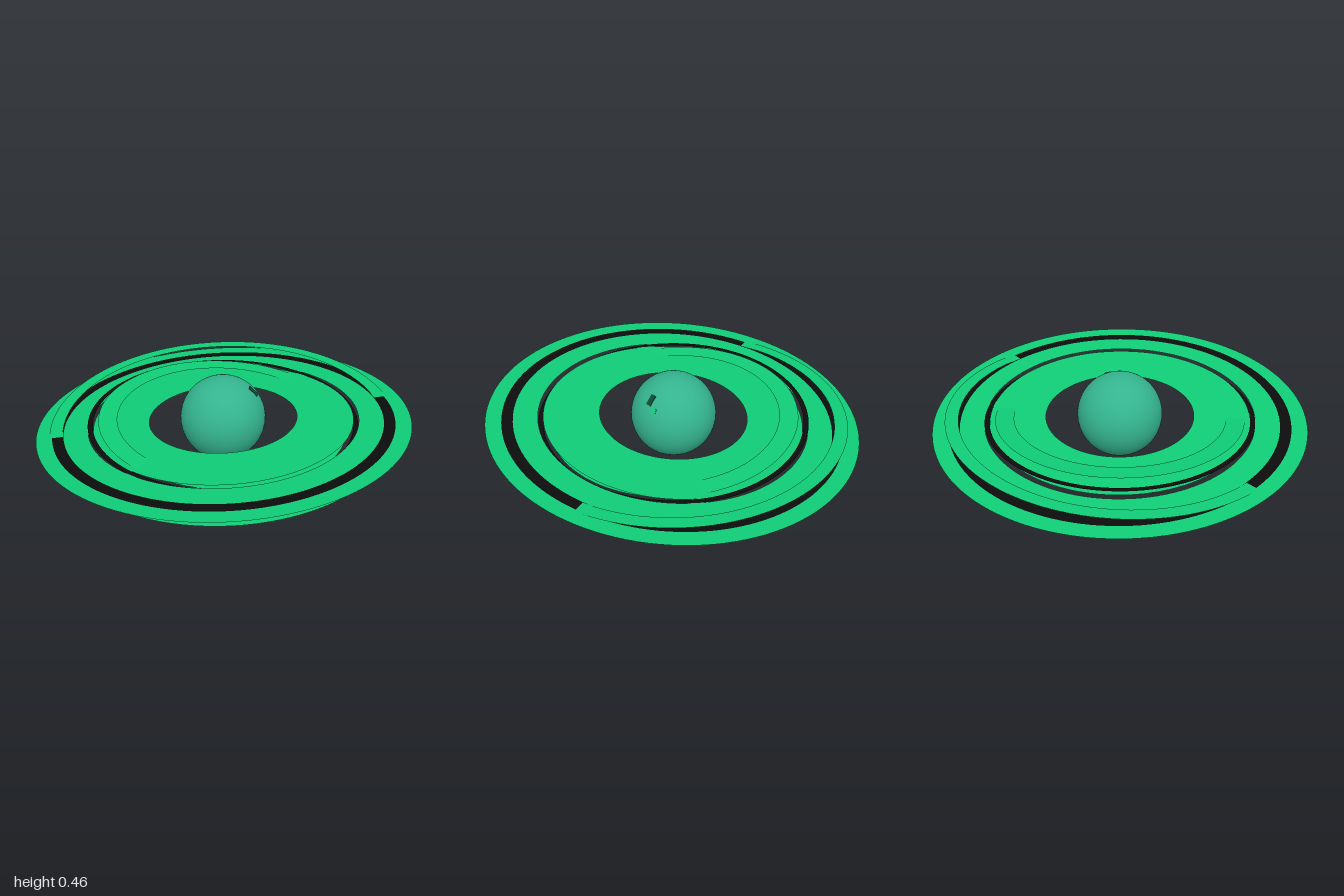
import * as THREE from 'three';

export function createModel() {
  const model = new THREE.Group();
  const mat = (name, color, side = THREE.FrontSide) => {
    const m = new THREE.MeshStandardMaterial({ color, side });
    m.name = name;
    return m;
  };
  const teal = mat('planet teal', 0x34b48e);
  const green = mat('ring green', 0x0fcc76, THREE.DoubleSide);
  const black = mat('band black', 0x0c0c0c, THREE.DoubleSide);
  const dark = mat('dark spot', 0x0d4a34);

  const R = 0.23;
  const center = new THREE.Vector3(0, R, 0);

  // Planet
  const planet = new THREE.Mesh(new THREE.SphereGeometry(R, 64, 48), teal);
  planet.name = 'planet';
  planet.position.copy(center);
  model.add(planet);

  // Thin marks lying tangent to the planet's surface
  function surfaceMark(name, dir, w, h, material) {
    const mark = new THREE.Mesh(new THREE.BoxGeometry(w, h, 0.005), material);
    const n = new THREE.Vector3(...dir).normalize();
    mark.name = name;
    mark.position.copy(center).addScaledVector(n, R);
    mark.lookAt(center.clone().addScaledVector(n, 2 * R));
    model.add(mark);
  }
  surfaceMark('upperSpot', [0.135, 0.163, -0.09], 0.03, 0.06, dark);
  surfaceMark('upperFleck', [0.13, 0.128, -0.14], 0.025, 0.025, green);
  surfaceMark('lowerSpot', [0, -0.185, 0.137], 0.032, 0.032, dark);

  // Flat rings, each group with its own slight tilt
  function ringSystem(name, tiltX, tiltZ, bands) {
    const g = new THREE.Group();
    g.name = name;
    g.position.copy(center);
    g.rotation.set(tiltX, 0, tiltZ);
    for (const [part, inner, outer, material] of bands) {
      const geo = new THREE.RingGeometry(inner, outer, 128, 1);
      geo.rotateX(-Math.PI / 2);
      const ring = new THREE.Mesh(geo, material);
      ring.name = part;
      g.add(ring);
    }
    model.add(g);
  }
  ringSystem('mainRings', 0, 0.06, [
    ['innerRing', 0.4, 0.7, green],
    ['middleRing', 0.727, 0.857, green],
    ['wideDarkBand', 0.857, 0.916, black],
    ['outerRing', 0.916, 1, green],
  ]);
  ringSystem('levelRing', 0, 0, [['narrowDarkBand', 0.7, 0.727, black]]);
  ringSystem('crossedInnerRing', 0, -0.05, [['crossedInnerBand', 0.57, 0.67, green]]);
  ringSystem('crossedOuterRing', 0.05, 0, [['crossedOuterBand', 0.86, 0.93, green]]);

  return model;
}
